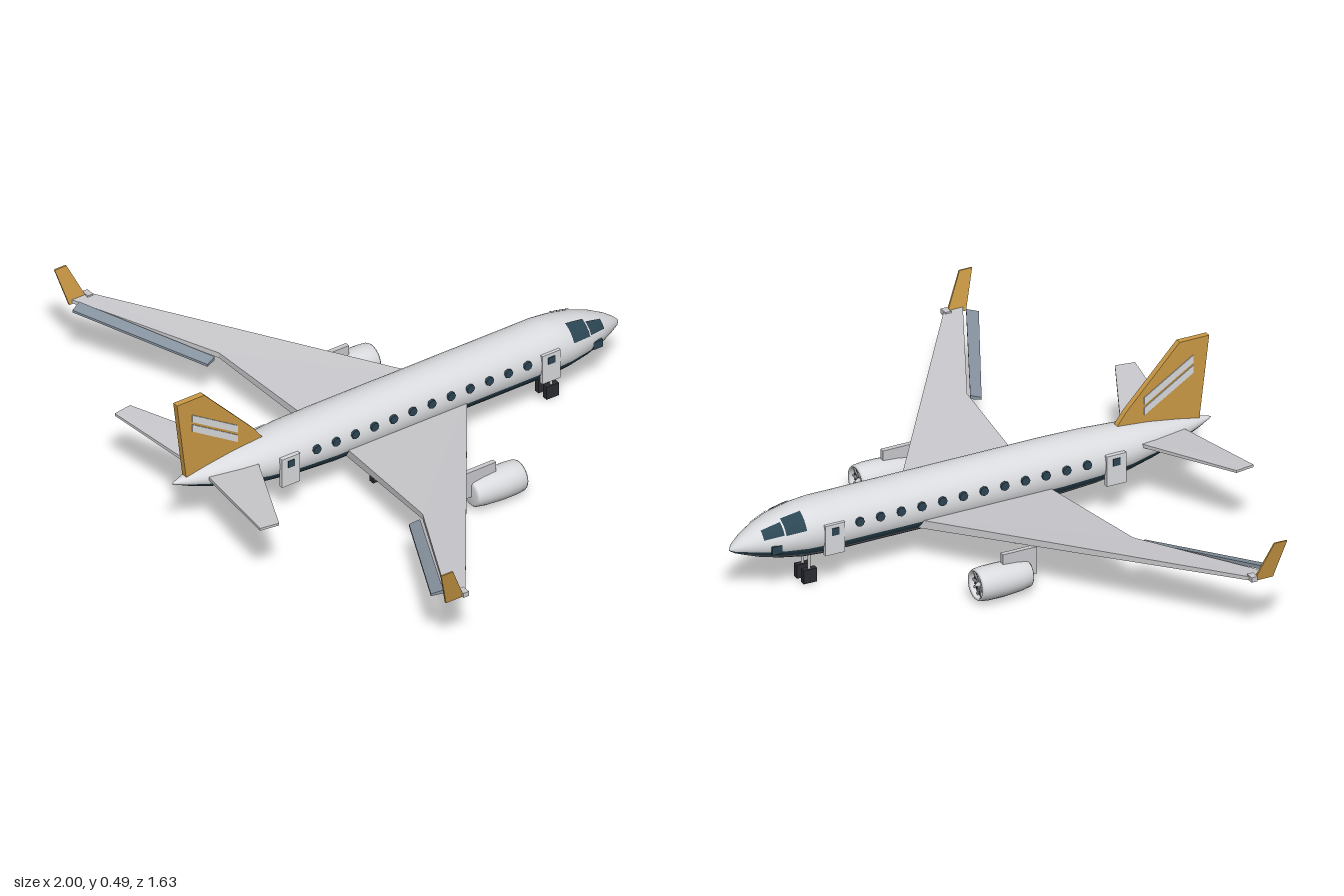
import * as THREE from 'three';

const mat = (name, color) => Object.assign(new THREE.MeshStandardMaterial({ color }), { name });
const rad = Math.PI / 180;

// Fuselage stations: z, top y, bottom y, half width
const stations = [
  [-0.815, 0.162, 0.158, 0.001], [-0.80, 0.178, 0.148, 0.018], [-0.77, 0.2, 0.137, 0.036],
  [-0.72, 0.226, 0.12, 0.06], [-0.66, 0.247, 0.106, 0.079], [-0.59, 0.261, 0.093, 0.089],
  [-0.53, 0.267, 0.088, 0.092], [0.27, 0.267, 0.088, 0.092], [0.4, 0.264, 0.097, 0.09],
  [0.51, 0.258, 0.111, 0.08], [0.6, 0.25, 0.133, 0.066], [0.7, 0.235, 0.162, 0.042],
  [0.77, 0.222, 0.187, 0.02], [0.815, 0.211, 0.207, 0.002],
];

// Point on the fuselage skin at a station z and an angle in degrees
function skinPoint(z, angle, offset = 0) {
  let i = 0;
  while (i < stations.length - 2 && z > stations[i + 1][0]) i++;
  const a = stations[i], b = stations[i + 1];
  const k = (z - a[0]) / (b[0] - a[0]);
  const [top, bottom, half] = [1, 2, 3].map((c) => a[c] + (b[c] - a[c]) * k);
  const c = Math.cos(angle * rad), s = Math.sin(angle * rad);
  return [(half + offset) * c, (top + bottom) / 2 + ((top - bottom) / 2 + offset) * s, z];
}

// Skin surface over lists of z and angles; slot(angle) picks the material index
function skin(zs, angles, closed, offset, slot) {
  const n = angles.length, pos = [], index = [], geo = new THREE.BufferGeometry();
  for (const z of zs) for (const a of angles) pos.push(...skinPoint(z, a, offset));
  for (let j = 0; j < (closed ? n : n - 1); j++) {
    const start = index.length, k = (j + 1) % n;
    for (let i = 0; i < zs.length - 1; i++) {
      const p = i * n, q = p + n;
      index.push(p + j, p + k, q + j, p + k, q + k, q + j);
    }
    geo.addGroup(start, index.length - start, slot(angles[j]));
  }
  geo.setAttribute('position', new THREE.Float32BufferAttribute(pos, 3));
  geo.setIndex(index);
  geo.computeVertexNormals();
  return geo;
}

// Flat-faced plate: corners [x, y, z, thickness], thickened along an axis, fanned from the first corner
function slab(corners, axis) {
  const shift = (p, s) => new THREE.Vector3(p[0], p[1], p[2]).addScaledVector(axis, s * p[3] / 2);
  let hi = corners.map((p) => shift(p, 1)), lo = corners.map((p) => shift(p, -1));
  const normal = hi[1].clone().sub(hi[0]).cross(hi[2].clone().sub(hi[0]));
  if (normal.dot(axis) < 0) { hi.reverse(); lo.reverse(); hi.unshift(hi.pop()); lo.unshift(lo.pop()); }
  const tris = [], n = hi.length;
  for (let i = 1; i < n - 1; i++) tris.push(hi[0], hi[i], hi[i + 1], lo[0], lo[i + 1], lo[i]);
  for (let i = 0; i < n; i++) {
    const j = (i + 1) % n;
    tris.push(lo[i], lo[j], hi[j], lo[i], hi[j], hi[i]);
  }
  const geo = new THREE.BufferGeometry().setFromPoints(tris);
  geo.computeVertexNormals();
  return geo;
}

export function createModel() {
  const model = new THREE.Group();
  model.name = 'airliner';
  const white = mat('bodyWhite', 0xd9dbde), wingGrey = mat('wingGrey', 0xcacace);
  const navy = mat('darkTeal', 0x2c4654), belly = mat('bellyGrey', 0x80868b);
  const gold = mat('gold', 0xcb9a45), slate = mat('flapSlate', 0x8793a0), black = mat('tyreBlack', 0x2b2c32);
  const X = new THREE.Vector3(1, 0, 0), Y = new THREE.Vector3(0, 1, 0);

  const add = (name, geo, material, x = 0, y = 0, z = 0, parent = model) => {
    const mesh = new THREE.Mesh(geo, material);
    mesh.name = name;
    mesh.position.set(x, y, z);
    parent.add(mesh);
    return mesh;
  };
  const box = (name, w, h, d, material, x, y, z) => add(name, new THREE.BoxGeometry(w, h, d), material, x, y, z);
  const plate = (name, corners, axis, material) => add(name, slab(corners, axis), material);

  // Fuselage: white upper skin, dark side stripes, grey belly
  const angles = [-39, -30];
  for (let i = 0; i < 24; i++) angles.push(-21 + i * 222 / 24);
  angles.push(201, 210);
  for (let i = 0; i < 10; i++) angles.push(219 + i * 10.2);
  const slot = (a) => (a < -21 || (a >= 201 && a < 219) ? 1 : a >= 219 ? 2 : 0);
  add('fuselage', skin(stations.map((s) => s[0]), angles, true, 0, slot), [white, navy, belly]);

  // Fin with two slanted stripes on each side
  plate('fin', [[0, 0.49, 0.805, 0.02], [0, 0.49, 0.705, 0.02], [0, 0.3, 0.525, 0.02],
    [0, 0.24, 0.48, 0.02], [0, 0.205, 0.77, 0.02]], X, gold);
  for (const s of [-1, 1]) for (const drop of [0, 0.034]) {
    const x = s * 0.011, e = 0.004;
    plate('finStripe', [[x, 0.437 - drop, 0.75, e], [x, 0.412 - drop, 0.75, e],
      [x, 0.31 - drop, 0.585, e], [x, 0.335 - drop, 0.585, e]], X, white);
  }

  for (const s of [-1, 1]) {
    const side = s > 0 ? 'left' : 'right';
    const part = (name) => side + name;
    const mirror = (corners) => corners.map(([x, y, z, t]) => [s * x, y, z, t]);

    // Wing, flap, winglet and tailplane
    plate(part('Wing'), mirror([[0.525, 0.168, 0.272, 0.018], [0.05, 0.132, 0.228, 0.028],
      [0.05, 0.132, -0.228, 0.028], [0.97, 0.204, 0.43, 0.012], [0.97, 0.204, 0.495, 0.012]]), Y, wingGrey);
    plate(part('Flap'), mirror([[0.53, 0.16, 0.285, 0.012], [0.52, 0.152, 0.318, 0.008],
      [0.925, 0.205, 0.525, 0.008], [0.94, 0.212, 0.49, 0.012]]), Y, slate);
    plate(part('Winglet'), mirror([[0.972, 0.196, 0.44, 0.007], [0.972, 0.196, 0.505, 0.007],
      [0.998, 0.32, 0.54, 0.005], [0.998, 0.32, 0.497, 0.005]]), X, gold);
    box(part('WingtipFitting'), 0.03, 0.016, 0.02, wingGrey, s * 0.97, 0.206, 0.438);
    plate(part('Tailplane'), mirror([[0.02, 0.204, 0.525, 0.012], [0.385, 0.229, 0.697, 0.008],
      [0.375, 0.229, 0.76, 0.008], [0.02, 0.204, 0.705, 0.012]]), Y, wingGrey);

    // Cockpit glazing follows the skin
    for (const [z0, z1, a0, a1] of [[-0.66, -0.595, 22, 66], [-0.725, -0.665, 24, 58]]) {
      const zs = [z0, (z0 + z1) / 2, z1];
      const arc = [0, 1, 2, 3, 4].map((i) => a0 + (a1 - a0) * i / 4);
      const list = s > 0 ? arc : arc.map((a) => 180 - a).reverse();
      add(part('CockpitWindow'), skin(zs, list, false, 0.003, () => 0), [navy]);
    }
    box(part('NosePanel'), 0.008, 0.026, 0.034, navy, s * 0.071, 0.162, -0.69);

    // Row of cabin windows
    for (let i = 0; i < 12; i++) {
      const z = -0.42 + i * 0.07;
      const disc = new THREE.CylinderGeometry(0.0145, 0.0145, 0.009, 8).rotateZ(Math.PI / 2);
      add(part('CabinWindow'), disc, navy, s * (skinPoint(z, 15)[0] + 0.002), 0.2, z);
    }

    // Doors with a small window each
    for (const z of [-0.505, 0.447]) {
      box(part('Door'), 0.014, 0.1, 0.066, white, s * 0.087, 0.164, z);
      box(part('DoorWindow'), 0.006, 0.024, 0.024, navy, s * 0.0935, 0.19, z);
    }

    // Engine nacelle with fan, spinner and pylon
    const engine = new THREE.Group();
    engine.name = part('Engine');
    engine.position.set(s * 0.38, 0.061, 0);
    engine.rotation.x = -Math.PI / 2;
    model.add(engine);
    const profile = [[0, 0.004], [0.036, 0.004], [0.043, 0.01], [0.049, 0.045], [0.053, 0.1], [0.053, 0.15],
      [0.05, 0.178], [0.046, 0.185], [0.042, 0.18], [0.041, 0.16]].map(([r, y]) => new THREE.Vector2(r, y));
    add('nacelle', new THREE.LatheGeometry(profile, 24), white, 0, 0, 0, engine);
    add('fanDisc', new THREE.CylinderGeometry(0.042, 0.042, 0.004, 24), black, 0, 0.164, 0, engine);
    for (let i = 0; i < 10; i++) {
      const blade = new THREE.BoxGeometry(0.03, 0.004, 0.006).translate(0.026, 0, 0).rotateY(i * Math.PI / 5);
      add('fanBlade', blade, wingGrey, 0, 0.17, 0, engine);
    }
    add('spinner', new THREE.ConeGeometry(0.011, 0.024, 12), wingGrey, 0, 0.178, 0, engine);
    box(part('Pylon'), 0.016, 0.09, 0.115, wingGrey, s * 0.38, 0.1, -0.037);

    // Main and nose landing gear
    for (const [name, x, z] of [['MainGear', 0.085, 0.125], ['NoseGear', 0.021, -0.555]]) {
      add(part(name + 'Strut'), new THREE.CylinderGeometry(0.005, 0.005, 0.1, 8), wingGrey, s * x, 0.08, z);
      box(part(name + 'Wheel'), 0.019, 0.045, 0.045, black, s * x, 0.0225, z);
    }
  }
  return model;
}
